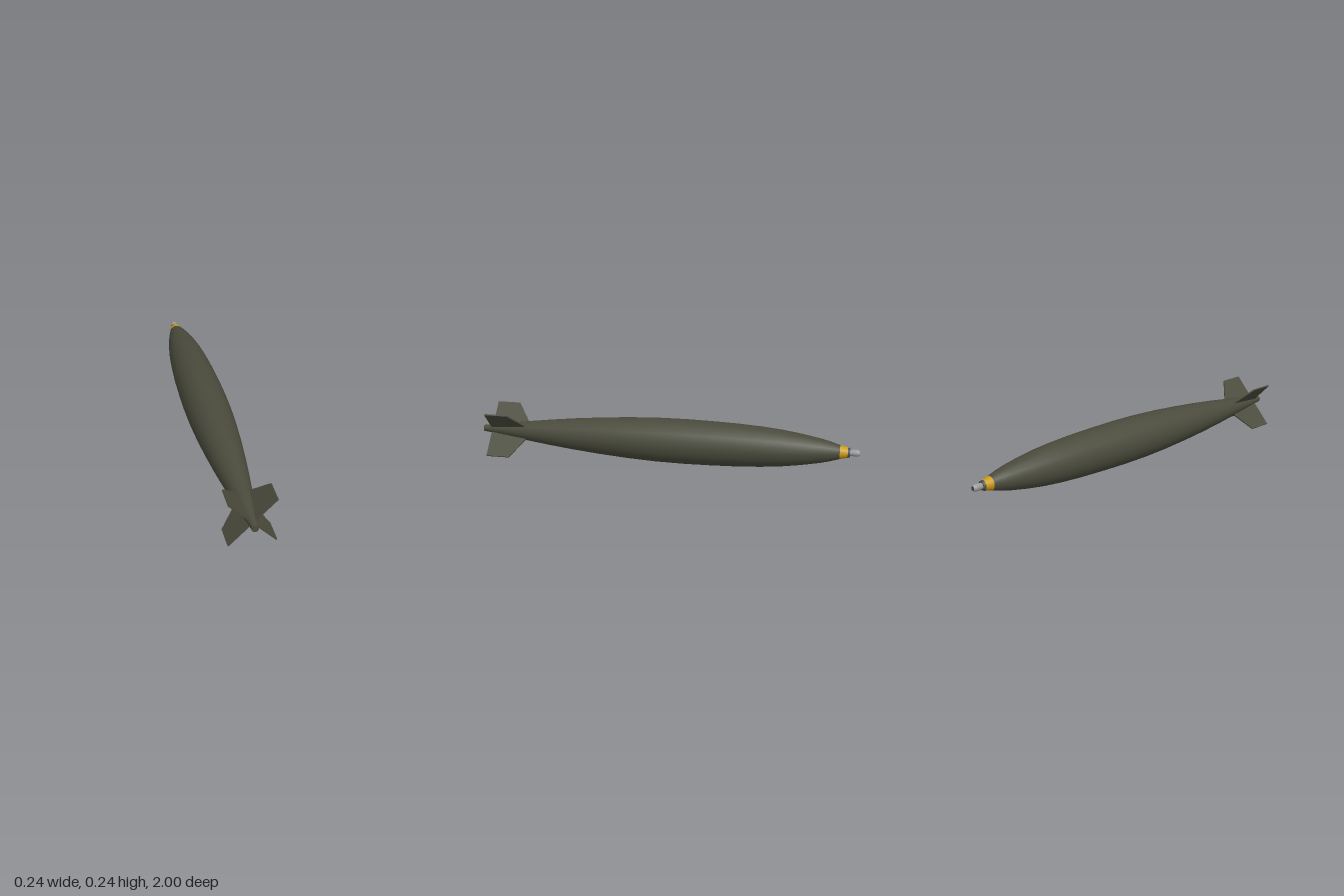
import * as THREE from 'three';

const SIDES = 20;
const AXIS_Y = 0.121;

const material = (color, metalness = 0) => new THREE.MeshStandardMaterial({ color, metalness });

// Surface of revolution along z; profile is [z, radius] from nose to tail
function turned(name, profile, mat) {
  const points = profile.map(([z, r]) => new THREE.Vector2(r, z));
  const mesh = new THREE.Mesh(new THREE.LatheGeometry(points, SIDES), mat);
  mesh.rotation.x = Math.PI / 2;
  mesh.position.y = AXIS_Y;
  mesh.name = name;
  return mesh;
}

export function createModel() {
  const model = new THREE.Group();
  model.name = 'finnedBody';
  const olive = material(0x4a4b3c);
  const yellow = material(0xc99a12);
  const darkGrey = material(0x4c4c4c);
  const silver = material(0x9a9a9a);

  // Long tapered casing
  model.add(turned('casing', [
    [-0.9, 0.036], [-0.85, 0.051], [-0.8, 0.063], [-0.7, 0.081], [-0.6, 0.095],
    [-0.5, 0.104], [-0.38, 0.111], [-0.24, 0.115], [-0.1, 0.117], [0.05, 0.115],
    [0.2, 0.108], [0.35, 0.097], [0.5, 0.083], [0.63, 0.068], [0.76, 0.051],
    [0.88, 0.034], [0.955, 0.022],
  ], olive));

  // Tail stub with a flat end
  model.add(turned('tailStub', [[0.955, 0.022], [1, 0.017]], olive));
  model.add(turned('tailCap', [[1, 0.017], [1, 0]], olive));

  // Painted nose band
  model.add(turned('noseBand', [[-0.94, 0.027], [-0.9, 0.036]], yellow));

  // Collar: flat face and rim
  model.add(turned('collarFace', [[-0.951, 0], [-0.951, 0.023]], darkGrey));
  model.add(turned('collarRim', [[-0.951, 0.023], [-0.94, 0.027]], darkGrey));

  // Nose plug with a rounded, darker tip
  model.add(turned('nosePlug', [[-0.986, 0.018], [-0.968, 0.018], [-0.965, 0.016], [-0.95, 0.016]], silver));
  model.add(turned('noseTip', [[-1, 0.012], [-0.996, 0.015], [-0.986, 0.018]], silver));
  model.add(turned('noseTipFace', [[-1, 0], [-1, 0.012]], darkGrey));

  // Four diagonal tail fins; shape x is the radius, shape y is z
  const outline = new THREE.Shape([
    [0.01, 0.76], [0.053, 0.76], [0.163, 0.832], [0.163, 0.955], [0.01, 0.955],
  ].map(([r, z]) => new THREE.Vector2(r, z)));
  const thickness = 0.007;
  const finGeometry = new THREE.ExtrudeGeometry(outline, { depth: thickness, bevelEnabled: false });
  finGeometry.translate(0, 0, -thickness / 2);
  finGeometry.rotateX(Math.PI / 2);
  const fins = new THREE.Group();
  fins.name = 'tailFins';
  fins.position.y = AXIS_Y;
  for (let i = 0; i < 4; i++) {
    const fin = new THREE.Mesh(finGeometry, olive);
    fin.name = 'tailFin';
    fin.rotation.z = Math.PI / 4 + i * Math.PI / 2;
    fins.add(fin);
  }
  model.add(fins);
  return model;
}
